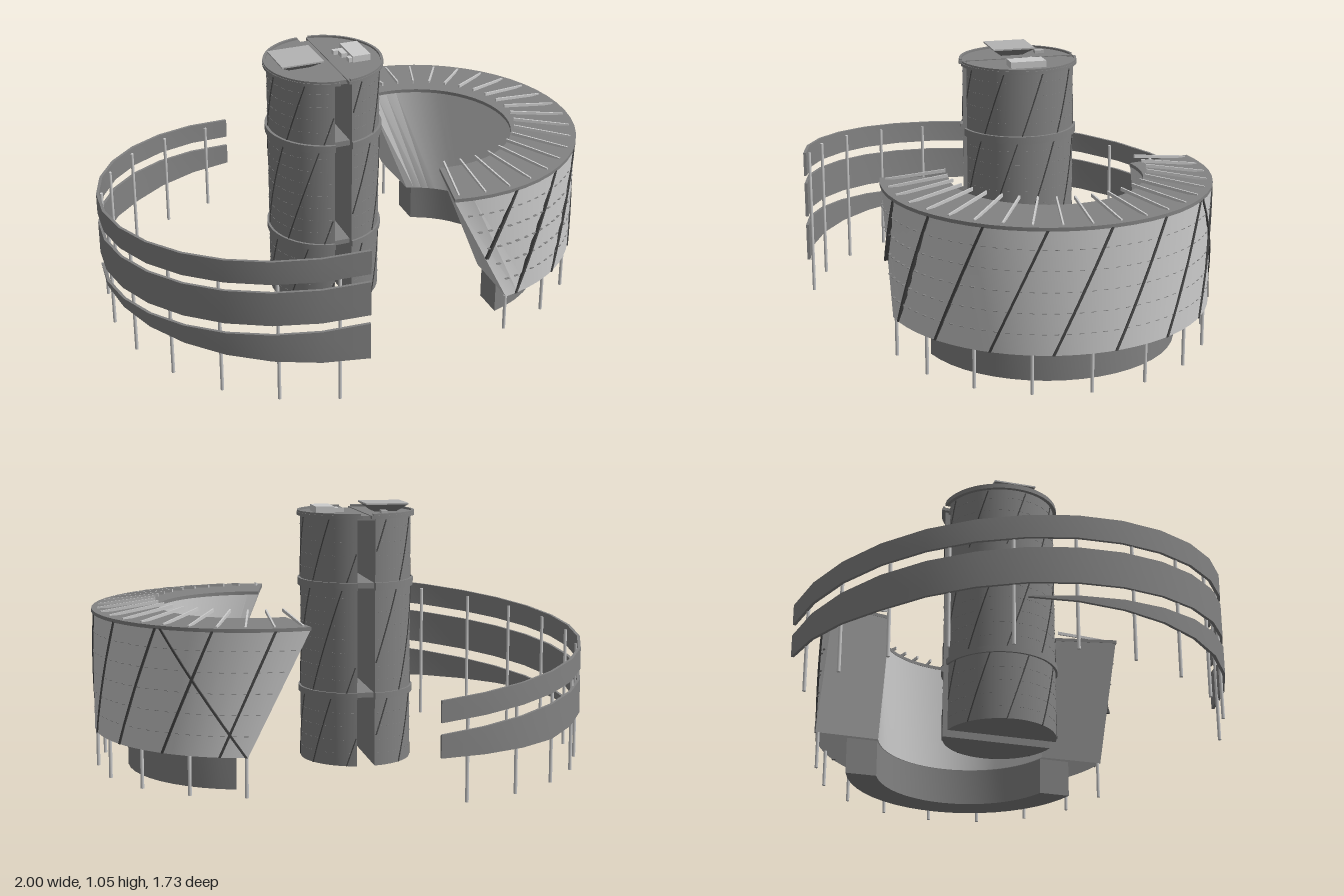
import * as THREE from 'three';
import { mergeGeometries, toCreasedNormals } from 'three/addons/utils/BufferGeometryUtils.js';

const paint = color => new THREE.MeshStandardMaterial({ color });
const light = paint(0xcccccc), pale = paint(0xb3b3b3), dark = paint(0x828282), black = paint(0x4a4a4a);
const deg = Math.PI / 180;

function mesh(geo, name, parent, material) {
  const m = new THREE.Mesh(geo, material);
  m.name = name;
  parent.add(m);
  return m;
}

// Closed solid through a row of four-cornered sections, always wound outwards
function sweep(rings) {
  const tris = [];
  const quad = (a, b, c, d) => tris.push([a, b, c], [a, c, d]);
  for (let i = 0; i + 1 < rings.length; i++)
    for (let k = 0; k < 4; k++) {
      const l = (k + 1) % 4;
      quad(rings[i][k], rings[i][l], rings[i + 1][l], rings[i + 1][k]);
    }
  const last = rings[rings.length - 1];
  quad(rings[0][3], rings[0][2], rings[0][1], rings[0][0]);
  quad(last[0], last[1], last[2], last[3]);
  const v = p => new THREE.Vector3(...p);
  const o = v(rings[0][0]);
  let volume = 0;
  for (const [a, b, c] of tris)
    volume += v(a).sub(o).dot(v(b).sub(o).cross(v(c).sub(o)));
  if (volume < 0) tris.forEach(t => t.reverse());
  const g = new THREE.BufferGeometry();
  g.setAttribute('position', new THREE.Float32BufferAttribute(tris.flat(2), 3));
  return g;
}
const solid = geos => toCreasedNormals(mergeGeometries([geos].flat()), 0.5);

const polar = (cx, r, a, y) => [cx + r * Math.cos(a * deg), y, r * Math.sin(a * deg)];

// Curved wall; f(u) gives [angle at bottom, angle at top, bottom y, top y, inner angles if different]
function arcWall(cx, r0, r1, n, f) {
  const rings = [];
  for (let i = 0; i <= n; i++) {
    const [ab, at, yb, yt, ib = ab, it = at] = f(i / n);
    rings.push([polar(cx, r0, ib, yb), polar(cx, r1, ab, yb), polar(cx, r1, at, yt), polar(cx, r0, it, yt)]);
  }
  return sweep(rings);
}

// Slanted rib on a round wall; null if nothing lies inside the limit
function rib(cx, r0, r1, half, a0, a1, y0, y1, inside) {
  const rings = [];
  for (let i = 0; i <= 24; i++) {
    const a = a0 + (a1 - a0) * i / 24, y = y0 + (y1 - y0) * i / 24;
    if (!inside(a, y)) continue;
    rings.push([polar(cx, r0, a - half, y), polar(cx, r1, a - half, y),
      polar(cx, r1, a + half, y), polar(cx, r0, a + half, y)]);
  }
  return rings.length > 1 ? sweep(rings) : null;
}

const dash = (cx, r0, r1, a, w, y) =>
  arcWall(cx, r0, r1, 1, u => { const t = a + w * (u - 0.5); return [t, t, y, y + 0.002]; });

function post(name, parent, [x, , z], h) {
  mesh(new THREE.CylinderGeometry(0.007, 0.007, h, 8), name, parent, light).position.set(x, h / 2, z);
}

function box(name, parent, material, x0, x1, y0, y1, z0, z1) {
  mesh(new THREE.BoxGeometry(x1 - x0, y1 - y0, z1 - z0), name, parent, material)
    .position.set((x0 + x1) / 2, (y0 + y1) / 2, (z0 + z1) / 2);
}

function ringBuilding() {
  const g = new THREE.Group();
  g.name = 'ringBuilding';
  const cx = 0.355, y0 = 0.155, y1 = 0.63;
  const limit = y => 80.5 + 21.5 * (y - y0) / (y1 - y0); // leaning end faces
  const span = (u, l) => (2 * u - 1) * l;

  mesh(solid(arcWall(cx, 0.38, 0.641, 30, u => [span(u, 80.5), span(u, 102), y0, y1, span(u, 73)])), 'ringWall', g, light);
  mesh(solid(arcWall(cx, 0.378, 0.645, 30, u => [span(u, 102), span(u, 102), 0.627, 0.641])), 'ringRoof', g, dark);
  mesh(solid(arcWall(cx, 0.385, 0.51, 20, u =>
    [span(u, 75), span(u, 75), 0, y0, span(u, 70), span(u, 70)])), 'ringBase', g, dark);

  // Slanted facade ribs, plus one that crosses them at the back
  const ribs = [];
  const inside = (a, y) => Math.abs(a) <= limit(y);
  for (let k = -5; k <= 4; k++)
    ribs.push(rib(cx, 0.63, 0.645, 0.45, 13 + 21 * k, -6 + 21 * k, y0, y1, inside));
  ribs.push(rib(cx, 0.63, 0.645, 0.45, -80, -50, y0, y1, inside));
  mesh(solid(ribs.filter(Boolean)), 'facadeRibs', g, black);

  // Dashed floor lines
  const dashes = [];
  for (let y = 0.235; y < 0.6; y += 0.08)
    for (let a = -96; a <= 96; a += 4)
      if (Math.abs(a) < limit(y) - 2) dashes.push(dash(cx, 0.63, 0.642, a, 1.6, y));
  mesh(solid(dashes), 'facadeFloorLines', g, dark);

  // Roof fins rising towards the courtyard
  const fins = [];
  for (let a = -100; a <= 100; a += 10) {
    const end = (r, w, yb, yt) => [polar(cx, r, a - w, yb), polar(cx, r, a + w, yb), polar(cx, r, a + w, yt), polar(cx, r, a - w, yt)];
    fins.push(sweep([end(0.39, 0.5, 0.664, 0.677), end(0.622, 0.3, 0.636, 0.646)]));
  }
  mesh(solid(fins), 'roofFins', g, light);

  for (let a = -80; a <= 80; a += 20) post('ringPost', g, polar(cx, 0.63, a, 0), y0);
  return g;
}

function tower() {
  const g = new THREE.Group();
  g.name = 'tower';
  g.position.x = -0.073;
  // Half disc cut by the central slot
  const halfDisc = (r, gap, y0, y1) => {
    const a = Math.acos(gap / r);
    const s = new THREE.Shape();
    s.absarc(0, 0, r, -a, a, false);
    s.closePath();
    const geo = new THREE.ExtrudeGeometry(s, { depth: y1 - y0, bevelEnabled: false, curveSegments: 28 });
    geo.rotateX(-Math.PI / 2).translate(0, y0, 0);
    return toCreasedNormals(geo, 0.5);
  };
  const tiers = [[0, 0.275], [0.3, 0.715], [0.745, 0.995]];
  for (const turn of [0, Math.PI]) {
    const half = new THREE.Group();
    half.name = turn ? 'towerHalfRight' : 'towerHalfLeft';
    half.rotation.y = turn;
    g.add(half);
    mesh(halfDisc(0.225, 0.036, 0, 1), 'towerShaft', half, dark);
    mesh(halfDisc(0.234, 0.036, 0.275, 0.3), 'lowerBand', half, dark);
    mesh(halfDisc(0.236, 0.036, 0.715, 0.745), 'upperBand', half, dark);
    mesh(halfDisc(0.24, 0.018, 1, 1.012), 'towerRoof', half, dark);
    mesh(solid(arcWall(0, 0.228, 0.238, 28, u => { const a = (2 * u - 1) * 84; return [a, a, 1.01, 1.02]; })), 'roofRim', half, dark);
    const ribs = [], dashes = [];
    for (const [y0, y1] of tiers) {
      for (let a = -70; a <= 130; a += 40)
        ribs.push(rib(0, 0.22, 0.228, 0.6, a, a - 85 * (y1 - y0), y0, y1, t => Math.abs(t) < 80));
      for (let y = y0 + 0.05; y < y1 - 0.02; y += 0.055)
        for (let a = -75; a <= 75; a += 10) dashes.push(dash(0, 0.22, 0.2265, a, 5, y));
    }
    mesh(solid(ribs.filter(Boolean)), 'towerRibs', half, black);
    mesh(solid(dashes), 'towerFloorLines', half, dark);
  }
  // Links across the slot
  box('lowerLink', g, dark, -0.037, 0.037, 0.277, 0.297, -0.2, 0.2);
  box('upperLink', g, dark, -0.037, 0.037, 0.72, 0.742, -0.2, 0.2);
  box('roofLink', g, dark, -0.037, 0.037, 0.992, 1.009, -0.21, 0.21);

  // Landing pad, widening upwards
  const square = (s, y) => [[-s, y, -s], [s, y, -s], [s, y, s], [-s, y, s]];
  const pad = new THREE.Group();
  pad.name = 'landingPad';
  pad.position.set(-0.117, 0, 0.006);
  g.add(pad);
  mesh(solid(sweep([square(0.045, 1.012), square(0.085, 1.042)])), 'padSupport', pad, dark);
  box('padDeck', pad, pale, -0.087, 0.087, 1.042, 1.048, -0.087, 0.087);

  // Roof plant
  box('plantBlock', g, light, 0.1, 0.175, 1.012, 1.038, -0.072, 0.072);
  box('plantStep', g, light, 0.055, 0.1, 1.012, 1.03, -0.045, -0.025);
  box('plantStep', g, light, 0.075, 0.1, 1.012, 1.03, -0.025, 0.012);
  box('plantStep', g, light, 0.085, 0.1, 1.012, 1.03, 0.04, 0.065);
  box('roofHatch', g, pale, -0.105, -0.08, 1.012, 1.024, -0.135, -0.095);
  return g;
}

function spiralScreen() {
  const g = new THREE.Group();
  g.name = 'spiralScreen';
  const cx = -0.128, r = 0.872;
  // Bands fall from the front end (u = 0) to the back end (u = 1)
  const band = (name, n, uEnd, yb, yt) => mesh(solid(arcWall(cx, r - 0.012, r, n, t => {
    const u = t * uEnd, a = 96 + 168 * u;
    return [a, a, yb(u), yt(u)];
  })), name, g, dark);
  const topEdge = u => 0.637 - 0.244 * u;
  band('topBand', 14, 1, u => 0.54 - 0.23 * u, topEdge);
  band('middleBand', 14, 1, u => Math.max(0.178, 0.365 - 0.235 * u), u => 0.506 - 0.24 * u);
  band('lowBand', 8, 8 / 14, () => 0.176, u => 0.328 - 0.263 * u);
  for (let i = -5; i <= 5; i++) {
    const a = 180 + 15.3 * i;
    post('screenPost', g, polar(cx, r - 0.019, a, 0), topEdge((a - 96) / 168) - 0.02);
  }
  return g;
}

export function createModel() {
  const model = new THREE.Group();
  model.name = 'buildingComplex';
  model.add(ringBuilding(), tower(), spiralScreen());
  return model;
}
